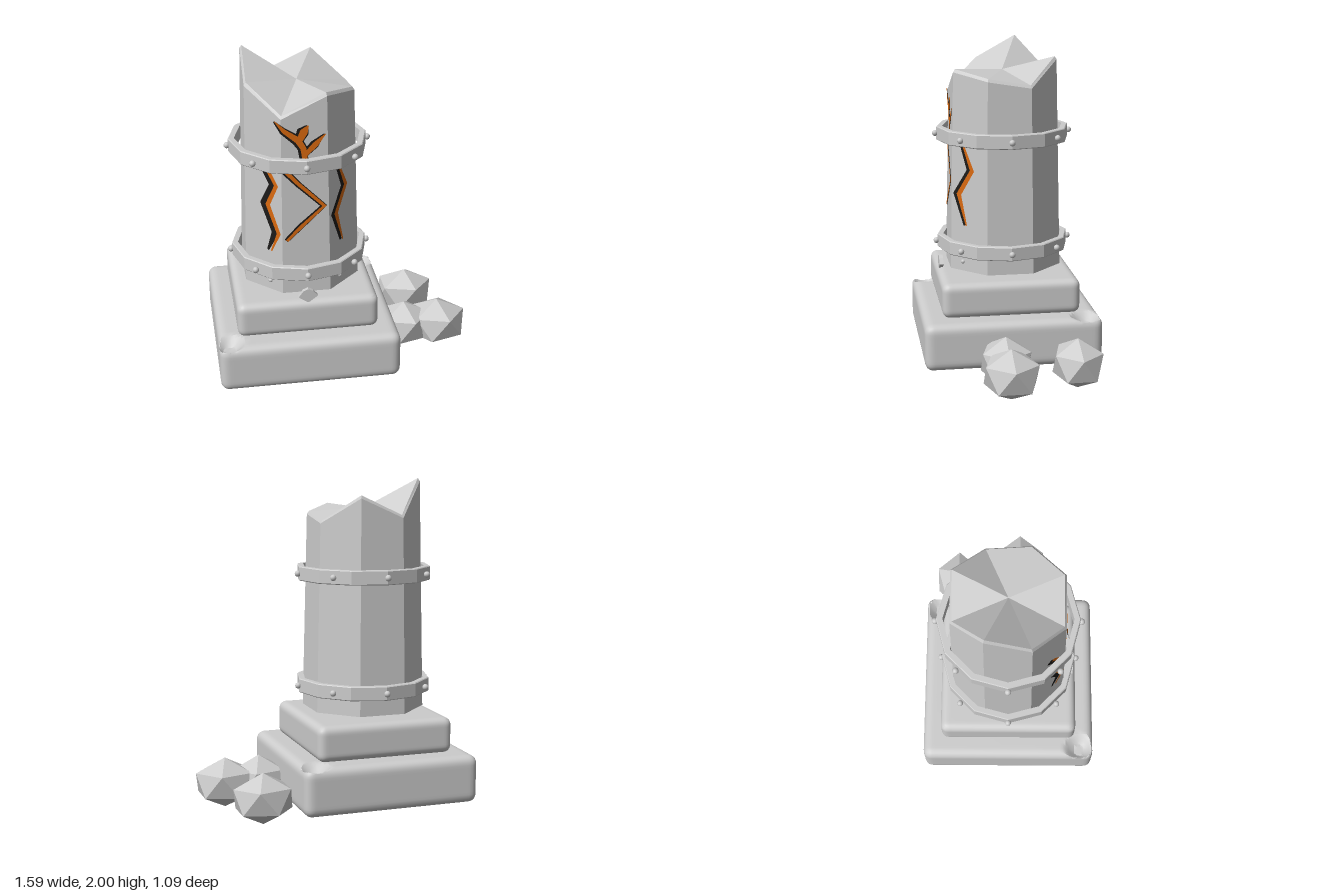
import * as THREE from 'three';
import { toCreasedNormals } from 'three/addons/utils/BufferGeometryUtils.js';

const CX = -0.255; // column axis
const stone = new THREE.MeshStandardMaterial({ color: 0xcccccc });
stone.name = 'stone';
const ember = new THREE.MeshStandardMaterial({ color: 0xd9690f, side: THREE.DoubleSide });
ember.name = 'emberOrange';
const soot = new THREE.MeshStandardMaterial({ color: 0x1c1a18, side: THREE.DoubleSide });
soot.name = 'sootBlack';

function add(parent, name, geometry, material, x = 0, y = 0, z = 0) {
  const mesh = new THREE.Mesh(geometry, material);
  mesh.name = name;
  mesh.position.set(x, y, z);
  parent.add(mesh);
  return mesh;
}

function flat(geometry) {
  const g = geometry.index ? geometry.toNonIndexed() : geometry;
  g.computeVertexNormals();
  return g;
}

// Rounded slab whose top is dented around each chip [x, z, radius, depth]
function slab(w, h, d, r, chips = []) {
  const g = new THREE.BoxGeometry(w, h, d, 56, 16, 56);
  const p = g.attributes.position;
  const v = new THREE.Vector3(), core = new THREE.Vector3();
  const half = new THREE.Vector3(w / 2 - r, h / 2 - r, d / 2 - r);
  for (let i = 0; i < p.count; i++) {
    v.fromBufferAttribute(p, i);
    core.copy(v).clamp(half.clone().negate(), half);
    v.sub(core);
    if (v.lengthSq() > 0) v.setLength(r);
    v.add(core);
    for (const [x, z, radius, depth] of chips) {
      const t = Math.hypot(v.x - x, v.z - z) / radius;
      if (t < 1) v.y = Math.min(v.y, h / 2 - depth * Math.min(1, 1.6 * (1 - t)));
    }
    p.setXYZ(i, v.x, v.y, v.z);
  }
  g.deleteAttribute('uv');
  g.deleteAttribute('normal');
  return toCreasedNormals(g, 0.5);
}

// Distance from the axis to a column face at height y
const apothem = (y) => 0.345 - 0.022 * (y - 0.6);

// Tapered octagon with a broken top
function columnGeometry() {
  const heights = [1.8, 1.84, 1.715, 1.86, 2.0, 1.79, 1.908, 1.757];
  const pos = [], idx = [];
  const ring = (heightAt, scale) => heights.forEach((h, k) => {
    const y = heightAt(h), a = (k + 0.5) * Math.PI / 4;
    const r = scale * apothem(y) / Math.cos(Math.PI / 8);
    pos.push(r * Math.cos(a), y, r * Math.sin(a));
  });
  ring(() => 0.6, 1);
  ring((h) => h - 0.018, 1);
  ring((h) => h, 0.965);
  pos.push(0, 1.82, 0, 0, 0.6, 0);
  for (let k = 0; k < 8; k++) {
    const n = (k + 1) % 8;
    for (const o of [0, 8]) idx.push(o + k, o + 8 + k, o + 8 + n, o + k, o + 8 + n, o + n);
    idx.push(24, 16 + n, 16 + k, 25, k, n);
  }
  const g = new THREE.BufferGeometry();
  g.setAttribute('position', new THREE.Float32BufferAttribute(pos, 3));
  g.setIndex(idx);
  return flat(g);
}

// Ribbon along points [u, y, width] lying on the column face at angle phi
function ribbon(points, phi, lift, widen, shift) {
  const pos = [], idx = [];
  points.forEach(([u, y, w], i) => {
    const a = points[Math.max(0, i - 1)], b = points[Math.min(points.length - 1, i + 1)];
    const len = Math.hypot(b[0] - a[0], b[1] - a[1]);
    const nu = (b[1] - a[1]) / len, ny = -(b[0] - a[0]) / len;
    for (const s of [-1, 1]) {
      const uu = u + shift + s * nu * (w * widen) / 2, yy = y + s * ny * (w * widen) / 2;
      const r = apothem(yy) + lift;
      pos.push(r * Math.cos(phi) + uu * Math.sin(phi), yy, r * Math.sin(phi) - uu * Math.cos(phi));
    }
    if (i) { const j = 2 * i; idx.push(j - 2, j, j - 1, j - 1, j, j + 1); }
  });
  // Face the ribbon outward whichever way the path runs
  if (points[0][1] < points[points.length - 1][1]) idx.reverse();
  const g = new THREE.BufferGeometry();
  g.setAttribute('position', new THREE.Float32BufferAttribute(pos, 3));
  g.setIndex(idx);
  return flat(g);
}

export function createModel() {
  const model = new THREE.Group();
  model.name = 'brokenColumn';

  // Two-step plinth with chipped corners
  add(model, 'lowerPlinth', slab(1.09, 0.29, 1.09, 0.05,
    [[-0.485, 0.46, 0.1, 0.055], [0.465, -0.455, 0.1, 0.055]]), stone, CX, 0.21, 0);
  add(model, 'upperPlinth', slab(0.85, 0.215, 0.85, 0.045), stone, CX, 0.463, 0);

  // Column, with everything fixed to it
  const column = new THREE.Group();
  column.name = 'column';
  column.position.x = CX;
  model.add(column);
  add(column, 'shaft', columnGeometry(), stone);

  // Twelve-sided bands with eight rivets each
  const rivet = new THREE.SphereGeometry(0.019, 10, 8);
  for (const y of [0.745, 1.432]) {
    const h = 0.043, b = 0.005;
    const profile = [[0.376, -h], [0.413 - b, -h], [0.413, b - h], [0.413, h - b], [0.413 - b, h], [0.376, h], [0.376, -h]]
      .map(([r, t]) => new THREE.Vector2(r, t));
    add(column, 'band', flat(new THREE.LatheGeometry(profile, 12)), stone, 0, y, 0);
    for (let k = 0; k < 8; k++) {
      const a = k * Math.PI / 4;
      add(column, 'rivet', rivet, stone, 0.42 * Math.cos(a), y, 0.42 * Math.sin(a));
    }
  }
  for (const s of [-1, 1]) add(column, 'footRivet', rivet, stone, s * 0.208, 0.657, 0.275).scale.setScalar(0.75);

  // Small chip of stone standing at the foot of the shaft
  const chip = new THREE.Shape([[-0.058, 0.597], [-0.03, 0.635], [0, 0.648], [0.03, 0.633], [0.058, 0.6], [0, 0.557]]
    .map(([x, y]) => new THREE.Vector2(x, y)).reverse());
  add(column, 'stoneChip', flat(new THREE.ExtrudeGeometry(chip, { depth: 0.025, bevelEnabled: false })), stone, 0, 0, 0.383);

  // Glowing cracks: [face angle, dark edge width, dark edge shift, points]
  const F = Math.PI / 2, R = Math.PI / 4, L = 3 * Math.PI / 4;
  const cracks = [
    [F, 1.4, -0.003, [[-0.17, 1.69, 0.006], [-0.12, 1.63, 0.03], [-0.04, 1.57, 0.045], [-0.01, 1.52, 0.04], [0, 1.44, 0.035]]],
    [F, 1.3, -0.003, [[-0.035, 1.56, 0.04], [-0.005, 1.62, 0.055], [0.02, 1.655, 0.01]]],
    [F, 1.3, -0.003, [[0, 1.48, 0.03], [0.06, 1.54, 0.04], [0.118, 1.6, 0.006]]],
    [F, 1.4, -0.002, [[-0.12, 1.39, 0.03], [-0.04, 1.3, 0.026], [0.108, 1.155, 0.03], [-0.03, 1.03, 0.026], [-0.115, 0.945, 0.02]]],
    [L, 1.5, -0.026, [[0.025, 1.39, 0.03], [0.098, 1.285, 0.035], [0.035, 1.155, 0.04], [0.115, 0.985, 0.035], [0.06, 0.86, 0.01]]],
    [R, 1.4, -0.014, [[-0.05, 1.39, 0.015], [0.02, 1.235, 0.038], [-0.08, 1.08, 0.042], [-0.02, 0.89, 0.012]]],
  ];
  for (const [phi, widen, shift, points] of cracks) {
    add(column, 'crackEdge', ribbon(points, phi, 0.003, widen, shift), soot);
    add(column, 'crackGlow', ribbon(points, phi, 0.006, 0.85, 0.002), ember);
  }

  // Fallen rocks: icosahedra standing on a corner
  const rock = flat(new THREE.IcosahedronGeometry(1, 0).rotateZ(-Math.atan(2 / (1 + Math.sqrt(5)))));
  const rocks = [[0.49, -0.343, 0.2, 0.168], [0.614, 0.075, 0.202, 0.184], [0.4, 0.075, 0.19, 0.17]];
  for (const [x, z, sx, sz] of rocks) add(model, 'rock', rock, stone, x, 0.157, z).scale.set(sx, 0.154, sz);

  return model;
}
